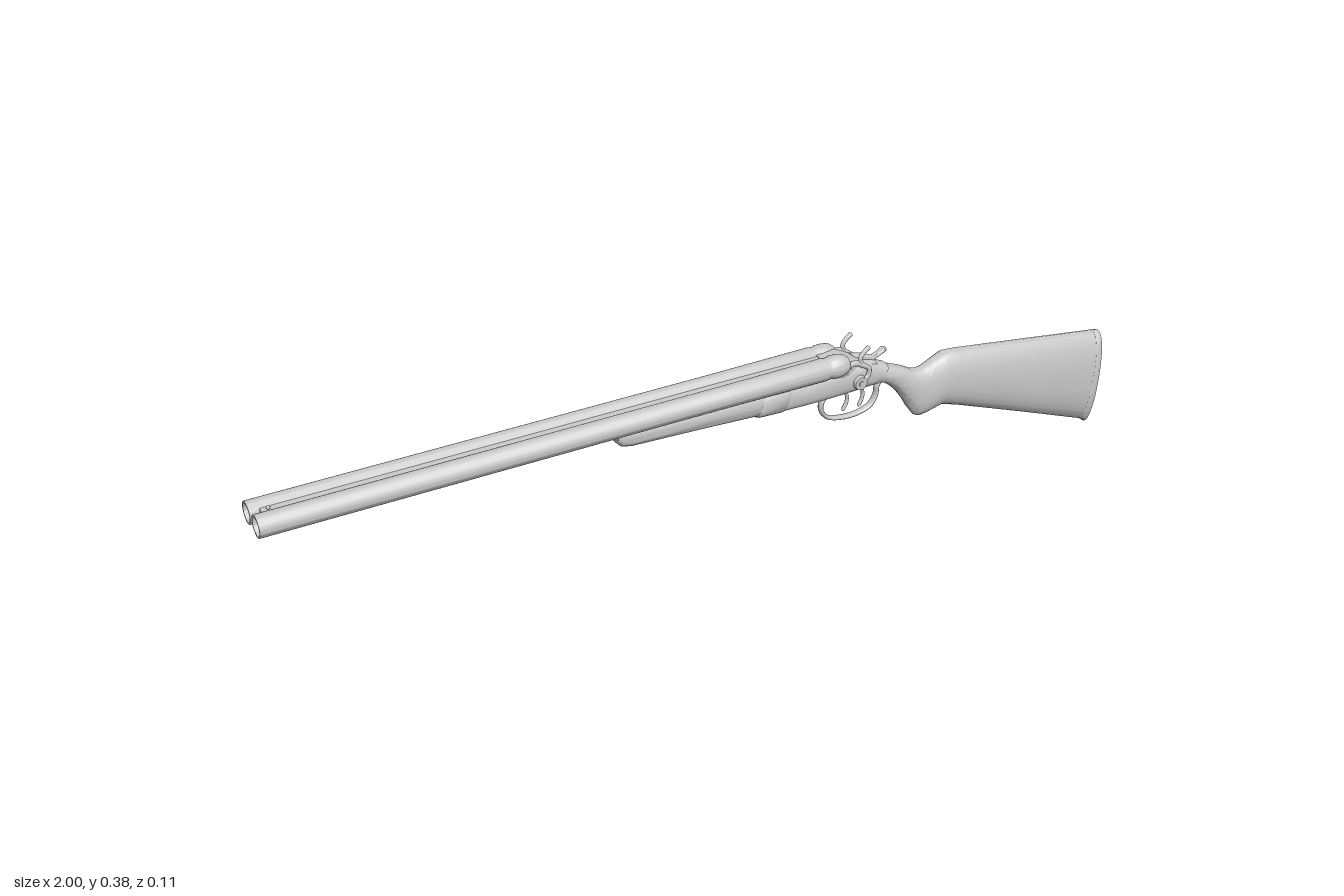
import * as THREE from 'three';
import { toCreasedNormals } from 'three/addons/utils/BufferGeometryUtils.js';

const material = new THREE.MeshStandardMaterial({ color: 0xcccccc });

function add(parent, name, geometry, crease = 0.7) {
  const mesh = new THREE.Mesh(crease ? toCreasedNormals(geometry, crease) : geometry, material);
  mesh.name = name;
  parent.add(mesh);
  return mesh;
}

// Skin over cross-sections [topX, topY, bottomX, bottomY, halfWidth];
// power 1 gives ellipses, smaller values give squarer sections.
function loft(sections, power = 1, sides = 24) {
  const pos = [], index = [];
  const bend = v => Math.sign(v) * Math.abs(v) ** power;
  for (const [tx, ty, bx, by, w] of sections) {
    for (let j = 0; j < sides; j++) {
      const a = j / sides * Math.PI * 2, c = bend(Math.cos(a));
      pos.push((tx + bx) / 2 + c * (tx - bx) / 2, (ty + by) / 2 + c * (ty - by) / 2, w * bend(Math.sin(a)));
    }
  }
  const last = sections.length - 1;
  for (let i = 0; i < last; i++) {
    for (let j = 0; j < sides; j++) {
      const a = i * sides + j, b = i * sides + (j + 1) % sides;
      index.push(a, b, a + sides, b, b + sides, a + sides);
    }
  }
  // End caps
  for (let j = 1; j < sides - 1; j++) {
    index.push(0, j + 1, j);
    index.push(last * sides, last * sides + j, last * sides + j + 1);
  }
  const g = new THREE.BufferGeometry();
  g.setAttribute('position', new THREE.Float32BufferAttribute(pos, 3));
  g.setIndex(index);
  return g;
}

// Sections passed through a smooth curve, for organic shapes
function smoothSections(keys, steps) {
  const tops = new THREE.CatmullRomCurve3(keys.map(k => new THREE.Vector3(k[0], k[1], k[4])), false, 'centripetal');
  const bottoms = new THREE.CatmullRomCurve3(keys.map(k => new THREE.Vector3(k[2], k[3], k[4])), false, 'centripetal');
  return Array.from({ length: steps + 1 }, (_, i) => {
    const t = tops.getPoint(i / steps), b = bottoms.getPoint(i / steps);
    return [t.x, t.y, b.x, b.y, t.z];
  });
}

// Round bar along a path in the side plane, widened across by zScale
function bar(points, radius, zScale = 1, steps = 32) {
  const curve = new THREE.CatmullRomCurve3(points.map(([x, y]) => new THREE.Vector3(x, y, 0)));
  return new THREE.TubeGeometry(curve, steps, radius, 10).scale(1, 1, zScale);
}

function box(x0, x1, y0, y1, w) {
  return new THREE.BoxGeometry(x1 - x0, y1 - y0, w).translate((x0 + x1) / 2, (y0 + y1) / 2, 0);
}

function createModel() {
  const model = new THREE.Group();
  model.name = 'doubleBarrelShotgun';

  // Hollow barrels with rounded breech ends
  const barrelProfile = [
    [0, -0.6], [0.0195, -0.6], [0.0195, -1], [0.0235, -1], [0.0235, 0], [0.025, 0.235],
    [0.0235, 0.24], [0.0235, 0.25], [0.0255, 0.255], [0.0255, 0.272], [0.0225, 0.285], [0.016, 0.294], [0, 0.298]
  ].map(([r, y]) => new THREE.Vector2(r, y));
  for (const s of [-1, 1]) {
    const g = new THREE.LatheGeometry(barrelProfile, 32).rotateZ(-Math.PI / 2).translate(0, 0.347, s * 0.0275);
    add(model, s > 0 ? 'leftBarrel' : 'rightBarrel', g);
  }

  // Ribs joining the barrels
  add(model, 'topRib', box(-0.98, 0.25, 0.349, 0.361, 0.03), 0.3);
  add(model, 'lowerRib', box(-0.98, 0.15, 0.331, 0.343, 0.022), 0.3);
  const bead = new THREE.SphereGeometry(0.004, 12, 8).translate(-0.965, 0.363, 0);
  add(model, 'frontSight', bead, 0);

  // Forend wood and its metal iron
  add(model, 'forend', loft([
    [-0.248, 0.335, -0.244, 0.296, 0.022], [-0.243, 0.335, -0.236, 0.288, 0.028],
    [-0.225, 0.335, -0.215, 0.284, 0.031], [-0.05, 0.337, -0.05, 0.278, 0.035],
    [0.09, 0.337, 0.09, 0.271, 0.037]
  ], 0.8));
  add(model, 'forendIron', loft([
    [0.095, 0.337, 0.072, 0.271, 0.037], [0.1, 0.337, 0.082, 0.267, 0.0395],
    [0.15, 0.337, 0.135, 0.265, 0.0395], [0.157, 0.337, 0.142, 0.269, 0.036]
  ], 0.8));

  // Receiver tapering into the tang
  add(model, 'receiver', loft(smoothSections([
    [0.145, 0.332, 0.14, 0.268, 0.036], [0.22, 0.332, 0.22, 0.266, 0.036],
    [0.28, 0.335, 0.28, 0.266, 0.035], [0.33, 0.335, 0.32, 0.266, 0.032],
    [0.37, 0.322, 0.35, 0.266, 0.027], [0.41, 0.306, 0.385, 0.266, 0.024]
  ], 24), 0.65));
  add(model, 'standingBreech', loft(smoothSections([
    [0.24, 0.363, 0.24, 0.3, 0.03], [0.285, 0.365, 0.285, 0.3, 0.035],
    [0.305, 0.357, 0.305, 0.3, 0.031], [0.335, 0.341, 0.335, 0.295, 0.023],
    [0.38, 0.322, 0.38, 0.29, 0.017]
  ], 16), 0.7));

  // Opening lever on the tang
  add(model, 'topLever', loft([
    [0.32, 0.351, 0.32, 0.335, 0.01], [0.345, 0.345, 0.345, 0.325, 0.011],
    [0.375, 0.333, 0.37, 0.315, 0.006], [0.39, 0.338, 0.387, 0.325, 0.007],
    [0.403, 0.345, 0.403, 0.334, 0.01], [0.409, 0.344, 0.409, 0.337, 0.007]
  ], 0.8, 16));

  // Outside hammers, mirrored
  for (const s of [-1, 1]) {
    const hammer = new THREE.Group();
    hammer.name = s > 0 ? 'leftHammer' : 'rightHammer';
    hammer.position.z = s * 0.035;
    const plate = new THREE.CylinderGeometry(0.0145, 0.0165, 0.012, 24).rotateX(s * Math.PI / 2).translate(0.325, 0.295, 0);
    add(hammer, 'hammerPivot', plate);
    add(hammer, 'hammerScrew', new THREE.CylinderGeometry(0.006, 0.006, 0.016, 16).rotateX(Math.PI / 2).translate(0.325, 0.295, 0));
    add(hammer, 'hammerNeck', bar([[0.328, 0.296], [0.345, 0.308], [0.346, 0.325], [0.329, 0.338], [0.323, 0.354], [0.331, 0.366], [0.341, 0.374]], 0.0055, 0.85), 0);
    add(hammer, 'hammerNose', bar([[0.332, 0.335], [0.318, 0.343], [0.305, 0.346], [0.296, 0.342]], 0.0065, 0.85, 12), 0);
    add(hammer, 'noseTip', new THREE.SphereGeometry(0.0065, 12, 8).translate(0.296, 0.342, 0), 0);
    add(hammer, 'spurTip', new THREE.SphereGeometry(0.0055, 12, 8).translate(0.341, 0.374, 0), 0);
    model.add(hammer);
  }

  // Trigger guard and two triggers
  add(model, 'triggerGuard', bar([
    [0.27, 0.27], [0.252, 0.253], [0.25, 0.232], [0.265, 0.211], [0.3, 0.2],
    [0.345, 0.2], [0.375, 0.211], [0.389, 0.232], [0.392, 0.255], [0.405, 0.275]
  ], 0.0048, 1.8, 56), 0);
  for (const [name, x] of [['frontTrigger', 0.303], ['rearTrigger', 0.343]]) {
    add(model, name, bar([[x, 0.272], [x + 0.012, 0.25], [x + 0.012, 0.235], [x + 0.004, 0.218]], 0.004, 1.2, 16), 0);
    add(model, name + 'Tip', new THREE.SphereGeometry(0.004, 10, 8).translate(x + 0.004, 0.218, 0), 0);
  }

  // Wooden stock: grip, comb and butt
  add(model, 'stock', loft([
    ...smoothSections([
      [0.375, 0.313, 0.36, 0.268, 0.022], [0.415, 0.301, 0.4, 0.262, 0.0235],
      [0.455, 0.285, 0.43, 0.24, 0.024], [0.485, 0.27, 0.46, 0.202, 0.0245],
      [0.51, 0.27, 0.478, 0.172, 0.025], [0.535, 0.281, 0.498, 0.151, 0.027],
      [0.565, 0.293, 0.56, 0.163, 0.032]
    ], 30),
    [0.6, 0.29, 0.6, 0.151, 0.0335], [0.8, 0.263, 0.8, 0.075, 0.0335], [0.982, 0.238, 0.962, 0.012, 0.0335]
  ], 0.9));

  // Butt plate
  add(model, 'buttPlate', loft([
    [0.983, 0.237, 0.963, 0.012, 0.0325], [0.985, 0.2375, 0.965, 0.011, 0.0335],
    [0.997, 0.236, 0.977, 0.004, 0.0335], [1, 0.234, 0.98, 0, 0.0315]
  ], 0.9));

  return model;
}

export { createModel };
